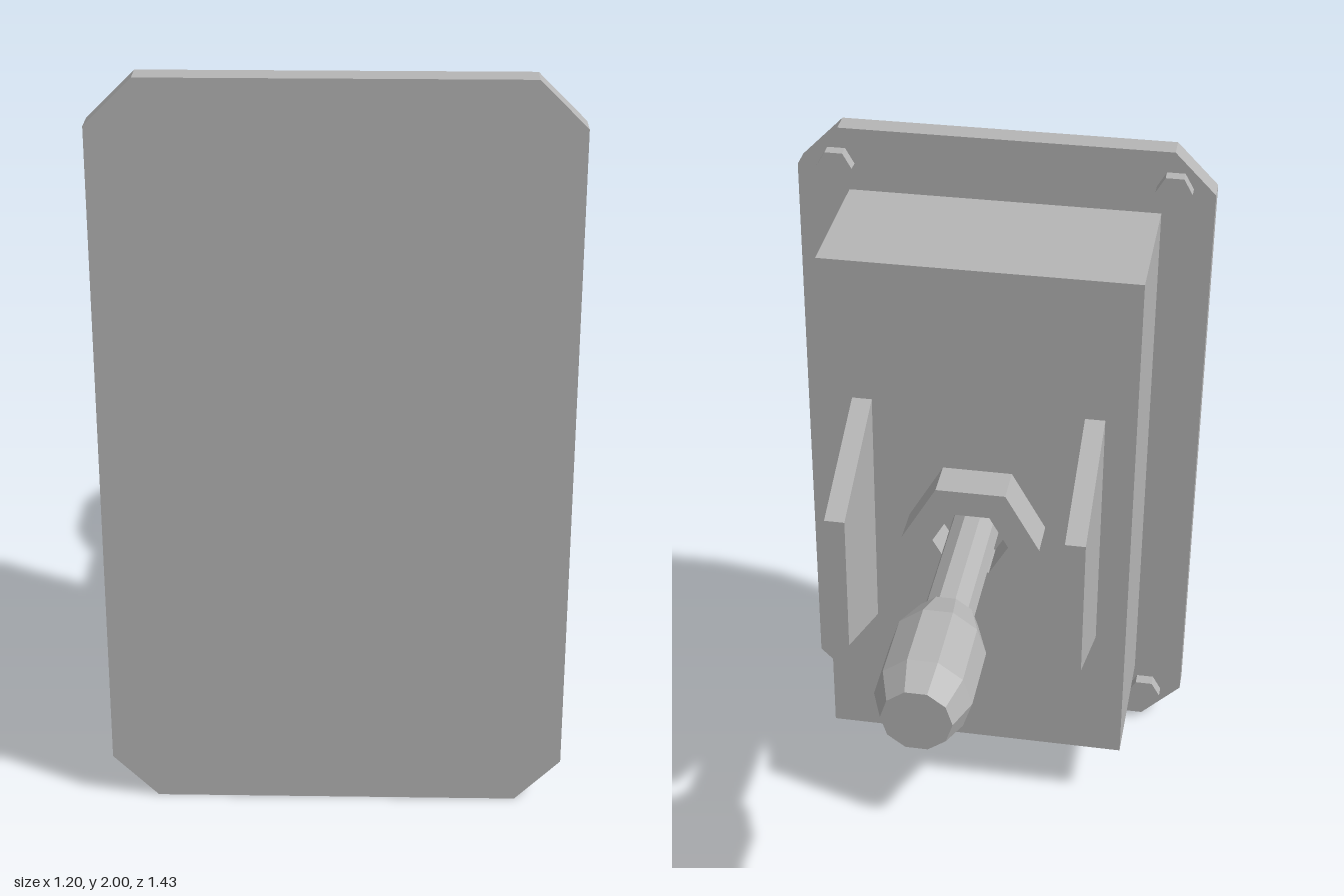
import * as THREE from 'three';

const metal = new THREE.MeshStandardMaterial({ color: 0xb6b6b6, flatShading: true });
metal.name = 'grey metal';

export function createModel() {
  const group = new THREE.Group();
  group.name = 'leverSwitch';

  const add = (name, geometry, x = 0, y = 0, z = 0) => {
    const mesh = new THREE.Mesh(geometry, metal);
    mesh.name = name;
    mesh.position.set(x, y, z);
    group.add(mesh);
  };

  // faceted solid turned around the z axis; profile is [radius, z], low z first
  const turned = (sides, profile) =>
    new THREE.LatheGeometry(profile.map(([r, z]) => new THREE.Vector2(r, z)), sides, Math.PI / 2)
      .rotateX(Math.PI / 2);

  const extrude = (points, depth) =>
    new THREE.ExtrudeGeometry(new THREE.Shape(points.map(([x, y]) => new THREE.Vector2(x, y))),
      { depth, bevelEnabled: false });

  // front plate with cut corners
  add('facePlate', extrude([
    [-0.48, 0], [0.48, 0], [0.6, 0.12], [0.6, 1.88],
    [0.48, 2], [-0.48, 2], [-0.6, 1.88], [-0.6, 0.12],
  ], 0.07), 0, 0, 0.643);

  // housing box behind the plate
  add('housing', new THREE.BoxGeometry(0.9, 1.62, 0.433), 0, 1.002, 0.4275);

  // corner bolts on the back of the plate
  for (const x of [-0.485, 0.485]) {
    for (const y of [0.108, 1.894]) {
      add('bolt', turned(6, [[0, 0.605], [0.052, 0.605], [0.052, 0.645], [0, 0.645]]), x, y);
    }
  }

  // tapered guard fins either side of the lever
  for (const side of [-1, 1]) {
    const fin = extrude([[-0.212, 0.622], [0.168, 0.79], [0.168, 1.212], [-0.212, 1.38]], 0.057);
    fin.translate(0, 0, -0.0285).rotateY(Math.PI / 2);
    add('guardFin', fin, side * 0.332);
  }

  // hexagonal collar with an open centre
  add('collarNut', turned(6, [
    [0.11, 0.092], [0.2, 0.092], [0.2, 0.212], [0.11, 0.212], [0.11, 0.092],
  ].map(([r, z]) => [r, z])), 0, 1);

  // lever shaft and grip
  add('leverShaft', turned(10, [[0, -0.3], [0.071, -0.3], [0.071, 0.215], [0, 0.215]]), 0, 1);
  add('leverGrip', turned(10, [
    [0, -0.713], [0.095, -0.713], [0.13, -0.62], [0.13, -0.403], [0.088, -0.287], [0, -0.287],
  ]), 0, 1);

  return group;
}
